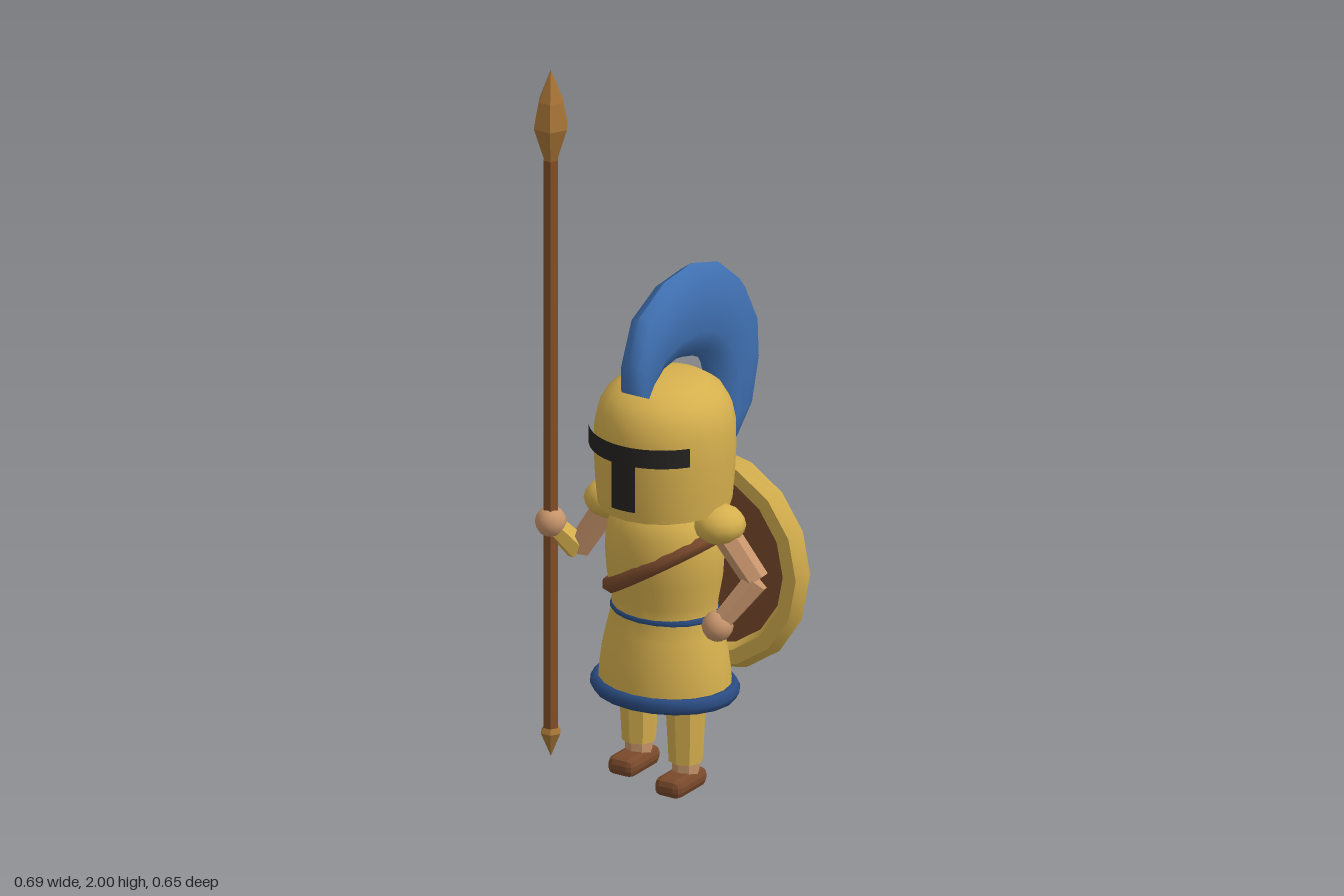
import * as THREE from 'three';
import { toCreasedNormals, mergeVertices } from 'three/addons/utils/BufferGeometryUtils.js';
import { RoundedBoxGeometry } from 'three/addons/geometries/RoundedBoxGeometry.js';

const CX = 0.022, CZ = 0.117; // vertical axis of the body
const COLORS = {
  gold: 0xd6b04e, blue: 0x3f6fb0, trim: 0x2b4c82, brown: 0x7a4a2c,
  skin: 0xc8956c, dark: 0x262422, bronze: 0xa87536, wood: 0x82502a,
};
const V = (x, y, z) => new THREE.Vector3(x, y, z);

export function createModel() {
  const root = new THREE.Group();
  root.name = 'spearWarrior';

  const add = (name, geo, color, { flat = false, double = false, parent = root } = {}) => {
    const material = new THREE.MeshStandardMaterial({
      color: COLORS[color], flatShading: flat, side: double ? THREE.DoubleSide : THREE.FrontSide,
    });
    const mesh = new THREE.Mesh(geo, material);
    mesh.name = name;
    parent.add(mesh);
    return mesh;
  };
  const lathe = (pts, sides) => toCreasedNormals(
    new THREE.LatheGeometry(pts.map(([r, y]) => new THREE.Vector2(r, y)), sides), 0.7);
  // body parts share one axis and are oval in plan
  const onBody = (mesh, depth) => {
    mesh.position.set(CX, 0, CZ);
    mesh.scale.z = depth;
    return mesh;
  };
  // tapered limb between two points
  const limb = (name, a, b, ra, rb, color, sides = 6, parent = root) => {
    const m = add(name, new THREE.CylinderGeometry(rb, ra, a.distanceTo(b), sides), color, { flat: true, parent });
    m.position.copy(a).lerp(b, 0.5);
    m.quaternion.setFromUnitVectors(V(0, 1, 0), b.clone().sub(a).normalize());
    return m;
  };
  const ball = (name, p, rx, ry, rz, color) => {
    const m = add(name, new THREE.SphereGeometry(1, 12, 8), color);
    m.position.copy(p);
    m.scale.set(rx, ry, rz);
  };

  // tunic: skirt, waist and chest
  onBody(add('tunic', lathe([
    [0, 0.262], [0.19, 0.262], [0.187, 0.31], [0.179, 0.37], [0.163, 0.44], [0.149, 0.49],
    [0.152, 0.53], [0.165, 0.6], [0.17, 0.67], [0.162, 0.73], [0.14, 0.78], [0.09, 0.815], [0, 0.82],
  ], 20), 'gold'), 0.85);

  // skirt hem and belt
  const hoop = (name, radius, tube, y, height, depth) => {
    const g = new THREE.TorusGeometry(radius, tube, 6, 20).rotateX(Math.PI / 2).scale(1, height, 1);
    onBody(add(name, g, 'trim'), depth).position.y = y;
  };
  hoop('skirtHem', 0.191, 0.022, 0.268, 1.1, 0.83);
  hoop('belt', 0.141, 0.015, 0.492, 1, 0.84);

  // diagonal strap around the chest
  const loop = [];
  for (let i = 0; i < 16; i++) {
    const a = i / 16 * Math.PI * 2;
    loop.push(V(CX + 0.153 * Math.cos(a), 0.63 + 0.095 * Math.cos(a), CZ + 0.13 * Math.sin(a)));
  }
  add('chestStrap', new THREE.TubeGeometry(new THREE.CatmullRomCurve3(loop, true), 32, 0.024, 6, true), 'brown');

  // helmet with a T-shaped opening
  onBody(add('helmet', lathe([
    [0, 0.802], [0.178, 0.802], [0.184, 0.87], [0.188, 0.95], [0.187, 1.03], [0.177, 1.08],
    [0.153, 1.122], [0.112, 1.15], [0.06, 1.163], [0, 1.166],
  ], 20), 'gold'), 1.06);
  const visor = (name, half, y0, y1, r) => {
    const g = new THREE.CylinderGeometry(r, r, y1 - y0, 12, 1, true, -half, 2 * half);
    onBody(add(name, g, 'dark', { double: true }), 1.04).position.y = (y0 + y1) / 2;
  };
  visor('eyeSlit', 0.92, 0.973, 1.027, 0.203);
  visor('noseSlit', 0.185, 0.84, 0.975, 0.202);

  add('crest', crestGeometry(), 'blue');

  // legs: the left one steps forward
  for (const side of [-1, 1]) {
    const leg = new THREE.Group();
    leg.name = side > 0 ? 'leftLeg' : 'rightLeg';
    leg.position.set(0.02 + side * 0.094, 0, 0.127 + side * 0.03);
    root.add(leg);
    limb('shin', V(0, 0.03, 0), V(0, 0.3, 0), 0.037, 0.045, 'skin', 8, leg);
    limb('greave', V(0, 0.08, 0), V(0, 0.25, 0), 0.047, 0.056, 'gold', 8, leg);
    const shoe = add('shoe', new RoundedBoxGeometry(0.084, 0.054, 0.152, 1, 0.02), 'brown', { flat: true, parent: leg });
    shoe.position.set(0, 0.027, 0.025);
  }

  // arms
  for (const side of [-1, 1])
    ball('shoulderGuard', V(CX + side * 0.172, 0.768, CZ), 0.075, 0.055, 0.07, 'gold');
  const rightElbow = V(-0.24, 0.61, 0.14), rightHand = V(-0.297, 0.69, 0.187);
  limb('rightUpperArm', V(-0.155, 0.755, 0.115), rightElbow, 0.038, 0.034, 'skin');
  limb('rightBracer', rightElbow, rightHand, 0.037, 0.03, 'gold');
  ball('rightHand', rightHand, 0.043, 0.043, 0.043, 'skin');
  const leftElbow = V(0.308, 0.625, 0.108), leftHand = V(0.225, 0.498, 0.172);
  limb('leftUpperArm', V(0.2, 0.76, 0.115), leftElbow, 0.038, 0.036, 'skin');
  limb('leftForearm', leftElbow, leftHand, 0.037, 0.03, 'skin');
  ball('leftHand', leftHand, 0.043, 0.043, 0.043, 'skin');

  // spear
  const spear = new THREE.Group();
  spear.name = 'spear';
  spear.position.set(-0.297, 0, 0.187);
  spear.rotation.y = Math.PI / 2;
  root.add(spear);
  const turned = (name, pts, color) => add(name,
    new THREE.LatheGeometry(pts.map(([r, y]) => new THREE.Vector2(r, y)), 6), color, { flat: true, parent: spear });
  turned('spearShaft', [[0, 0.07], [0.022, 0.07], [0.022, 1.74], [0, 1.74]], 'wood');
  turned('spearHead', [[0, 1.735], [0.018, 1.735], [0.051, 1.835], [0.036, 1.91], [0, 2]], 'bronze');
  turned('spearButt', [[0, 0.01], [0.03, 0.08], [0.022, 0.095], [0, 0.095]], 'bronze');

  // round shield carried on the back, facing -z
  const shield = new THREE.Group();
  shield.name = 'shield';
  shield.position.set(0.021, 0.567, -0.096);
  root.add(shield);
  add('shieldRim', toCreasedNormals(new THREE.TorusGeometry(0.283, 0.041, 6, 16), 0.7), 'gold', { parent: shield });
  const back = { parent: shield };
  add('shieldFace', lathe([[0.28, 0.025], [0.22, 0.05], [0.13, 0.064], [0, 0.07]], 16).rotateX(-Math.PI / 2), 'blue', back);
  add('shieldBoss', lathe([[0.077, 0.06], [0.075, 0.082], [0.045, 0.1], [0, 0.112]], 12).rotateX(-Math.PI / 2), 'gold', back);
  add('shieldInside', new THREE.CircleGeometry(0.27, 16), 'brown', back).position.z = 0.01;

  return root;
}

// crest: pointed-oval sections swept from brow to nape; rows are inner z,y, outer z,y, half width
function crestGeometry() {
  const rows = [
    [0.24, 1.14, 0.3, 1.17, 0.04], [0.22, 1.155, 0.3, 1.25, 0.047], [0.165, 1.19, 0.245, 1.37, 0.052],
    [0.1, 1.195, 0.12, 1.43, 0.052], [0.035, 1.185, -0.015, 1.44, 0.052], [-0.02, 1.17, -0.145, 1.4, 0.052],
    [-0.06, 1.15, -0.25, 1.315, 0.052], [-0.09, 1.105, -0.315, 1.195, 0.052], [-0.108, 1.055, -0.32, 1.08, 0.052],
    [-0.115, 0.97, -0.285, 0.955, 0.05], [-0.1, 0.9, -0.18, 0.845, 0.042], [-0.092, 0.89, -0.115, 0.845, 0.03],
  ];
  const capRow = ([z0, y0, z1, y1]) => [(z0 + z1) / 2, (y0 + y1) / 2, (z0 + z1) / 2, (y0 + y1) / 2, 0];
  const all = [capRow(rows[0]), ...rows, capRow(rows[rows.length - 1])];
  const half = [[0.08, 0.6], [0.3, 1], [0.65, 0.88], [0.92, 0.55]];
  const section = [[0, 0], ...half, [1, 0], ...half.map(([t, w]) => [t, -w]).reverse()];
  const n = section.length, pos = [], index = [];
  all.forEach(([z0, y0, z1, y1, w], i) => {
    for (const [t, s] of section) pos.push(CX + s * w, y0 + (y1 - y0) * t, z0 + (z1 - z0) * t);
    if (i === all.length - 1) return;
    for (let j = 0; j < n; j++) {
      const k = (j + 1) % n, a = i * n + j, b = i * n + k, c = b + n, d = a + n;
      index.push(a, d, c, a, c, b);
    }
  });
  const g = new THREE.BufferGeometry();
  g.setAttribute('position', new THREE.Float32BufferAttribute(pos, 3));
  g.setIndex(index);
  return toCreasedNormals(mergeVertices(g), 0.8);
}
